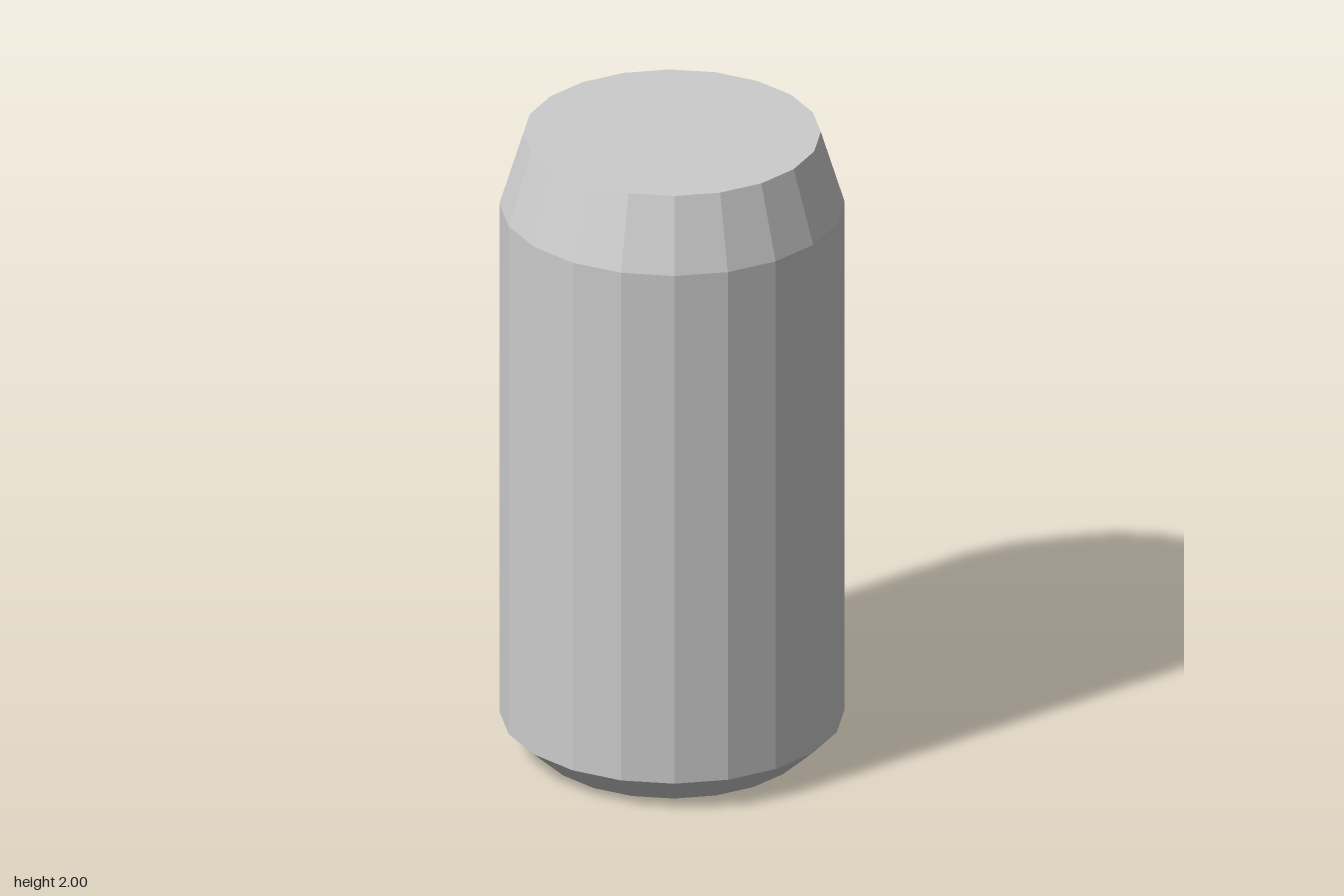
import * as THREE from 'three';

const SIDES = 20;
const PHASE = Math.PI / SIDES; // flat facets face the front, back and sides

export function createModel() {
  const can = new THREE.Group();
  can.name = 'can';
  const metal = new THREE.MeshStandardMaterial({ color: 0xcccccc, flatShading: true });

  const add = (name, geometry) => {
    const mesh = new THREE.Mesh(geometry, metal);
    mesh.name = name;
    can.add(mesh);
  };

  // Open faceted band between two heights
  const band = (name, y0, r0, y1, r1) => {
    const g = new THREE.CylinderGeometry(r1, r0, y1 - y0, SIDES, 1, true, PHASE);
    add(name, g.translate(0, (y0 + y1) / 2, 0));
  };

  // Flat end disc, facing up (dir = 1) or down (dir = -1)
  const disc = (name, y, r, dir) => {
    const g = new THREE.CircleGeometry(r, SIDES, PHASE);
    add(name, g.rotateX(-dir * Math.PI / 2).translate(0, y, 0));
  };

  disc('bottom', 0, 0.405, -1);
  band('baseBevel', 0, 0.405, 0.1, 0.514);
  band('body', 0.1, 0.514, 1.77, 0.514);
  band('shoulder', 1.77, 0.514, 2, 0.443);
  disc('lid', 2, 0.443, 1);

  return can;
}
